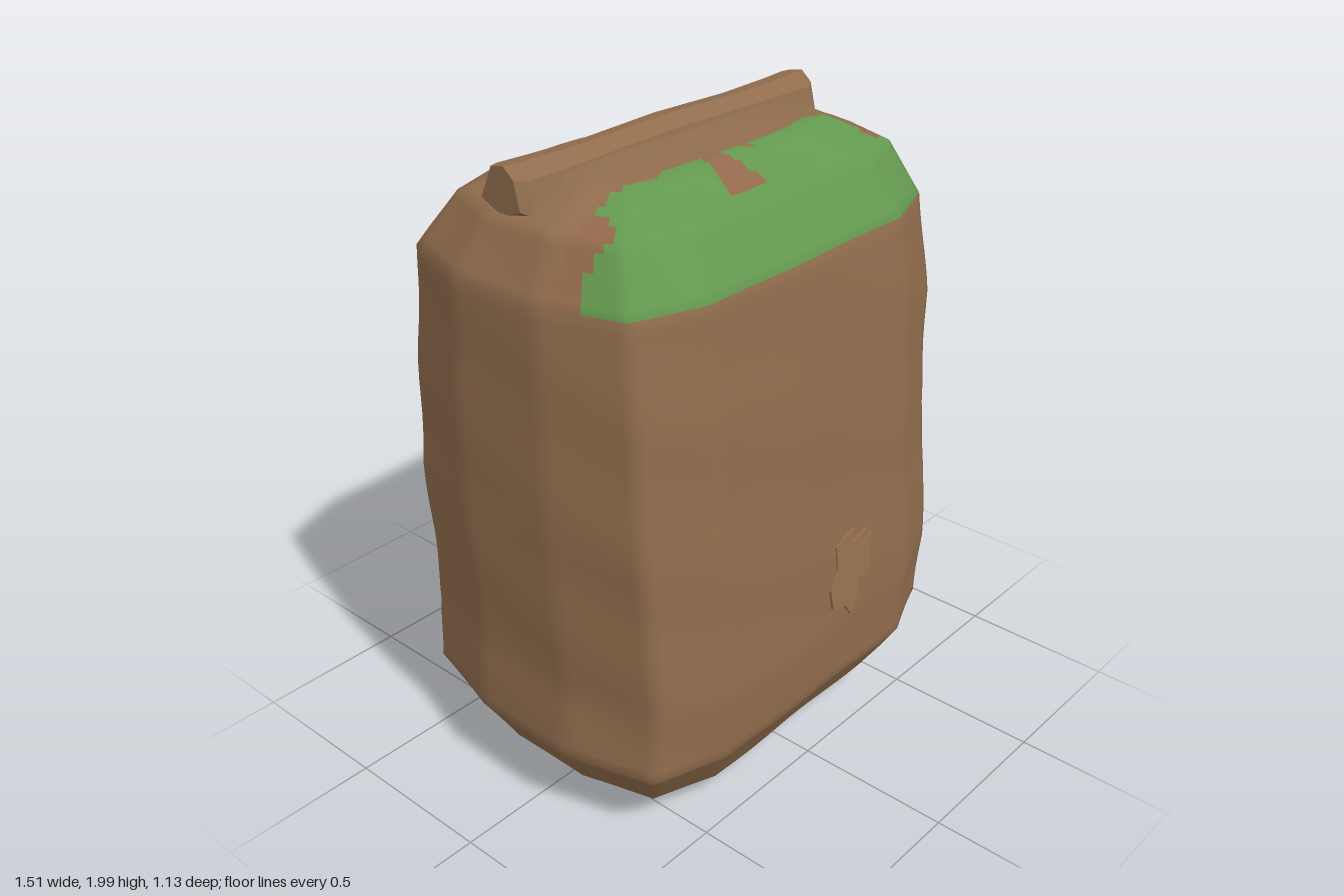
import * as THREE from 'three';

const mat = (name, color, extra = {}) =>
  Object.assign(new THREE.MeshStandardMaterial({ color, ...extra }), { name });

// Body sections from bottom to top: y, left x, right x, back z, front z
const SECTIONS = [
  [0.01, 0, 0, 0, 0],
  [0.012, -0.42, 0.43, -0.23, 0.2],
  [0.045, -0.53, 0.56, -0.38, 0.32],
  [0.1, -0.64, 0.65, -0.48, 0.42],
  [0.28, -0.75, 0.735, -0.575, 0.53],
  [0.5, -0.735, 0.745, -0.57, 0.54],
  [0.75, -0.742, 0.752, -0.572, 0.523],
  [1.0, -0.752, 0.727, -0.578, 0.505],
  [1.38, -0.748, 0.748, -0.555, 0.477],
  [1.7, -0.735, 0.715, -0.525, 0.44],
  [1.86, -0.645, 0.65, -0.42, 0.335],
  [1.945, -0.46, 0.47, -0.22, 0.17],
  [1.955, 0, 0, -0.03, -0.03],
];

// Chamfered plan outline, one quadrant mirrored to four, as evenly split edges
function planOutline() {
  const q = [[1, 0.32], [0.89, 0.84], [0.58, 1]];
  const flip = (sx, sz, list) => list.map(([x, z]) => [x * sx, z * sz]);
  const rev = [...q].reverse();
  const corners = [...q, ...flip(-1, 1, rev), ...flip(-1, -1, q), ...flip(1, -1, rev)];
  const out = [];
  corners.forEach(([x, z], i) => {
    const [x2, z2] = corners[(i + 1) % corners.length];
    const n = Math.abs(x2 - x) > 1 ? 36 : Math.abs(z2 - z) > 0.6 ? 10 : 8;
    for (let k = 0; k < n; k++) out.push([x + (x2 - x) * k / n, z + (z2 - z) * k / n]);
  });
  return out;
}

// Which colour a spot on the body has: 0 earth, 1 moss, 2 thin moss, 3 bare edge
function bodyColour(x, y, z) {
  const ragged = 0.012 * Math.sin(x * 31) + 0.01 * Math.sin(x * 17);
  if (y < 1.7 || z < 0.14 + ragged * 0.6) return 0;
  if (x > 0.6 && z < 0.31) return y < 1.86 ? 2 : 3;
  if (x > 0.5 && z < 0.25) return 3;
  if (x < -0.53 && z < 0.22 + ragged) return 3;
  if (Math.abs(x + 0.09) < 0.03 + 0.25 * (z - 0.1) && z < 0.28) return 3;
  return 1;
}

function bodyGeometry() {
  const outline = planOutline(), rows = [], pos = [], cols = outline.length, STEP = 7;
  for (let i = 0; i < SECTIONS.length - 1; i++) {
    for (let k = 0; k < STEP; k++) {
      rows.push(SECTIONS[i].map((v, c) => THREE.MathUtils.lerp(v, SECTIONS[i + 1][c], k / STEP)));
    }
  }
  rows.push(SECTIONS[SECTIONS.length - 1]);
  for (const [y, xl, xr, zb, zf] of rows) {
    for (const [u, v] of outline) {
      const x = (xl + xr) / 2 + u * (xr - xl) / 2;
      const z = (zb + zf) / 2 + v * (zf - zb) / 2;
      // gentle hand-shaped unevenness
      const w = 0.005 * Math.sin(x * 9 + y * 7) * Math.cos(y * 8 - x * 4 + z * 5);
      pos.push(x + u * w, y + (y > 1.9 ? w : 0), z + v * w);
    }
  }
  const faces = [[], [], [], []];
  for (let r = 0; r < rows.length - 1; r++) {
    for (let c = 0; c < cols; c++) {
      const a = r * cols + c, d = r * cols + (c + 1) % cols;
      const mid = [0, 1, 2].map(t =>
        (pos[3 * a + t] + pos[3 * (d + cols) + t]) / 2);
      faces[bodyColour(...mid)].push(a, a + cols, d, d, a + cols, d + cols);
    }
  }
  const geo = new THREE.BufferGeometry();
  geo.setAttribute('position', new THREE.Float32BufferAttribute(pos, 3));
  geo.setIndex(faces.flat());
  let start = 0;
  faces.forEach((f, i) => { geo.addGroup(start, f.length, i); start += f.length; });
  geo.computeVertexNormals();
  return geo;
}

// Faceted bar lying along x, slightly swollen near both ends
function barGeometry() {
  const profile = [[-0.105, 1.84], [-0.205, 1.88], [-0.15, 1.985], [-0.09, 1.995], [-0.045, 1.96], [-0.02, 1.87]];
  const stations = [[-0.63, 0.8], [-0.6, 1.06], [-0.5, 1.02], [-0.3, 0.88], [0, 0.9], [0.3, 0.88], [0.5, 0.98], [0.59, 1.06], [0.62, 0.8]];
  const n = profile.length, pos = [], idx = [];
  for (const [x, s] of stations) {
    for (const [z, y] of profile) {
      pos.push(x, 1.985 + (y - 1.985) * (0.5 + s / 2) + 0.004 * Math.cos(x * 9), -0.115 + (z + 0.115) * s);
    }
  }
  for (let i = 0; i < stations.length - 1; i++) {
    for (let j = 0; j < n; j++) {
      const a = i * n + j, b = i * n + (j + 1) % n;
      idx.push(a, b, a + n, b, b + n, a + n);
    }
  }
  const last = (stations.length - 1) * n;
  for (let j = 1; j < n - 1; j++) {
    idx.push(0, j + 1, j, last, last + j, last + j + 1);
  }
  const geo = new THREE.BufferGeometry();
  geo.setAttribute('position', new THREE.Float32BufferAttribute(pos, 3));
  geo.setIndex(idx);
  const flat = geo.toNonIndexed();
  flat.computeVertexNormals();
  return flat;
}

export function createModel() {
  const earth = mat('earth brown', 0x916d4d, { side: THREE.DoubleSide });
  const moss = mat('moss green', 0x63984f);
  const thinMoss = mat('thin moss', 0x84904f);
  const bareEdge = mat('reddish earth', 0x92694b);
  const leafGreen = mat('leaf green', 0x568c45, { side: THREE.DoubleSide });
  const chipBrown = mat('light brown', 0x98714e);

  const model = new THREE.Group();
  const add = (name, geo, material) => {
    const mesh = new THREE.Mesh(geo, material);
    mesh.name = name;
    model.add(mesh);
    return mesh;
  };

  add('body', bodyGeometry(), [earth, moss, thinMoss, bareEdge]);
  add('topBar', barGeometry(), earth);

  // Small leaf sticking out of the front: half a flattened ellipsoid
  const leaf = add('leaf', new THREE.SphereGeometry(1, 24, 16, -Math.PI / 2, Math.PI), leafGreen);
  leaf.geometry.scale(0.15, 0.062, 0.006);
  leaf.position.set(0.008, 0.97, 0.502);
  leaf.rotation.y = Math.PI + Math.atan2(0.083, 0.125);

  // Ragged chip lying on the front face
  const chipOutline = [
    [0.06, 0.77], [0.15, 0.795], [0.14, 0.75], [0.215, 0.77], [0.195, 0.725],
    [0.237, 0.745], [0.233, 0.63], [0.2, 0.6], [0.17, 0.62], [0.17, 0.56],
    [0.13, 0.5], [0.1, 0.545], [0.04, 0.56], [0.03, 0.63], [0.065, 0.69],
  ].map(([x, y]) => new THREE.Vector2(x, y - 0.5));
  const chip = add('chip', new THREE.ExtrudeGeometry(new THREE.Shape(chipOutline), { depth: 0.009, bevelEnabled: false }), chipBrown);
  chip.position.set(0, 0.5, 0.537);
  chip.rotation.x = -0.068;

  return model;
}
